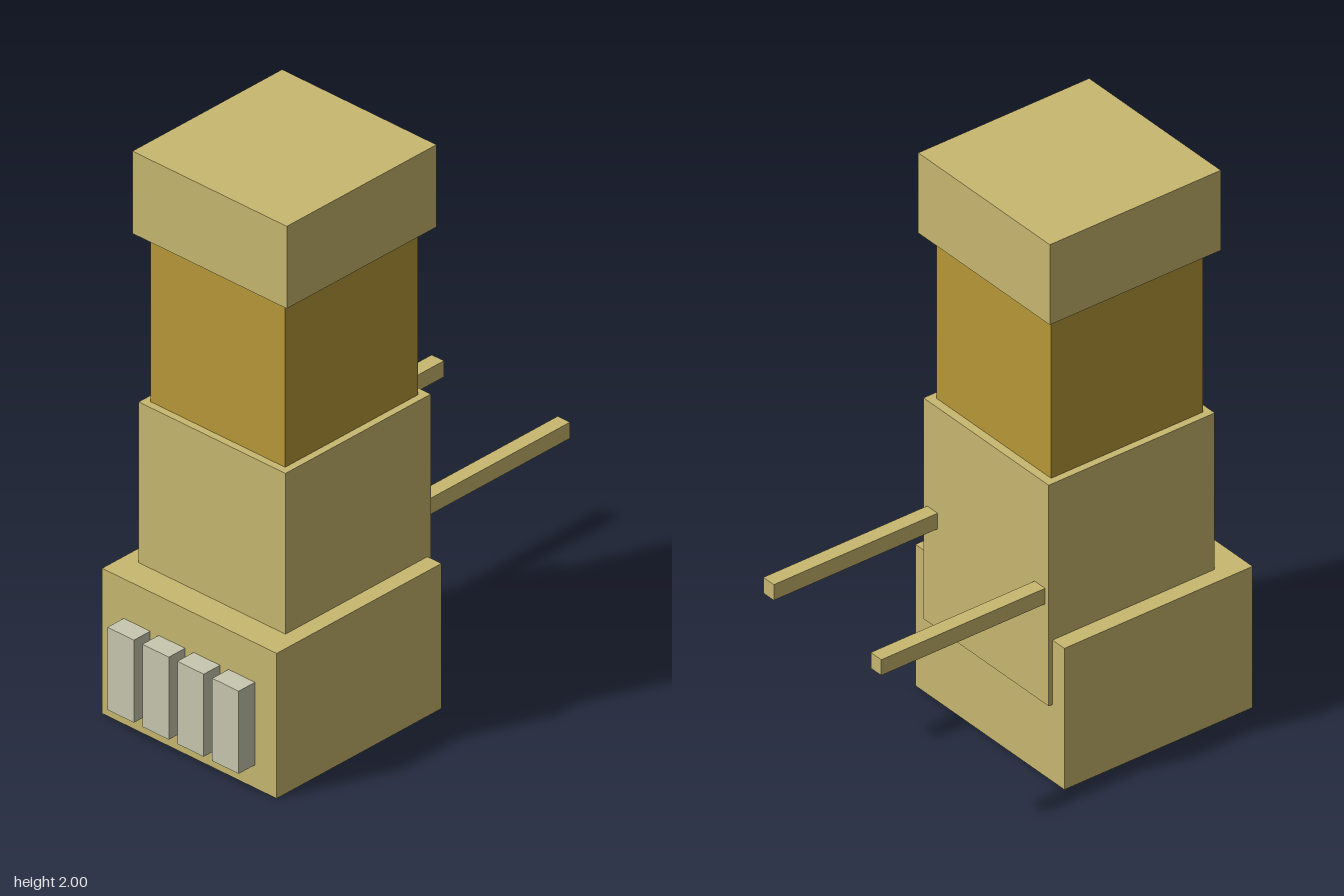
import * as THREE from 'three';

const material = (name, color) => {
  const m = new THREE.MeshStandardMaterial({ color });
  m.name = name;
  return m;
};

// Box given by its extents along each axis
function block(name, mat, [x0, x1], [y0, y1], [z0, z1]) {
  const mesh = new THREE.Mesh(new THREE.BoxGeometry(x1 - x0, y1 - y0, z1 - z0), mat);
  mesh.position.set((x0 + x1) / 2, (y0 + y1) / 2, (z0 + z1) / 2);
  mesh.name = name;
  return mesh;
}

export function createModel() {
  const sand = material('sand', 0xc8b870);
  const ochre = material('ochre', 0xb89838);
  const paleGrey = material('paleGrey', 0xc8c8b0);
  const model = new THREE.Group();
  model.name = 'tower';

  // Stacked body, from the foot up
  model.add(
    block('base', sand, [-0.37, 0.37], [0, 0.522], [-0.077, 0.662]),
    block('lowerTower', sand, [-0.311, 0.311], [0.284, 1.1], [-0.092, 0.56]),
    block('neck', ochre, [-0.285, 0.285], [1.1, 1.704], [-0.062, 0.534]),
    block('cap', sand, [-0.327, 0.327], [1.704, 2], [-0.1, 0.571]),
  );

  // Pair of bars reaching out behind
  for (const side of [-1, 1]) {
    const x = side * 0.267;
    model.add(block(side > 0 ? 'leftBar' : 'rightBar', sand,
      [x - 0.026, x + 0.026], [0.652, 0.71], [-0.735, -0.08]));
  }

  // Row of four upright blocks on the front of the base
  for (let i = 0; i < 4; i++) {
    const x = (i - 1.5) * 0.148;
    model.add(block(`frontBlock${i + 1}`, paleGrey,
      [x - 0.056, x + 0.056], [0.083, 0.38], [0.655, 0.735]));
  }
  return model;
}
